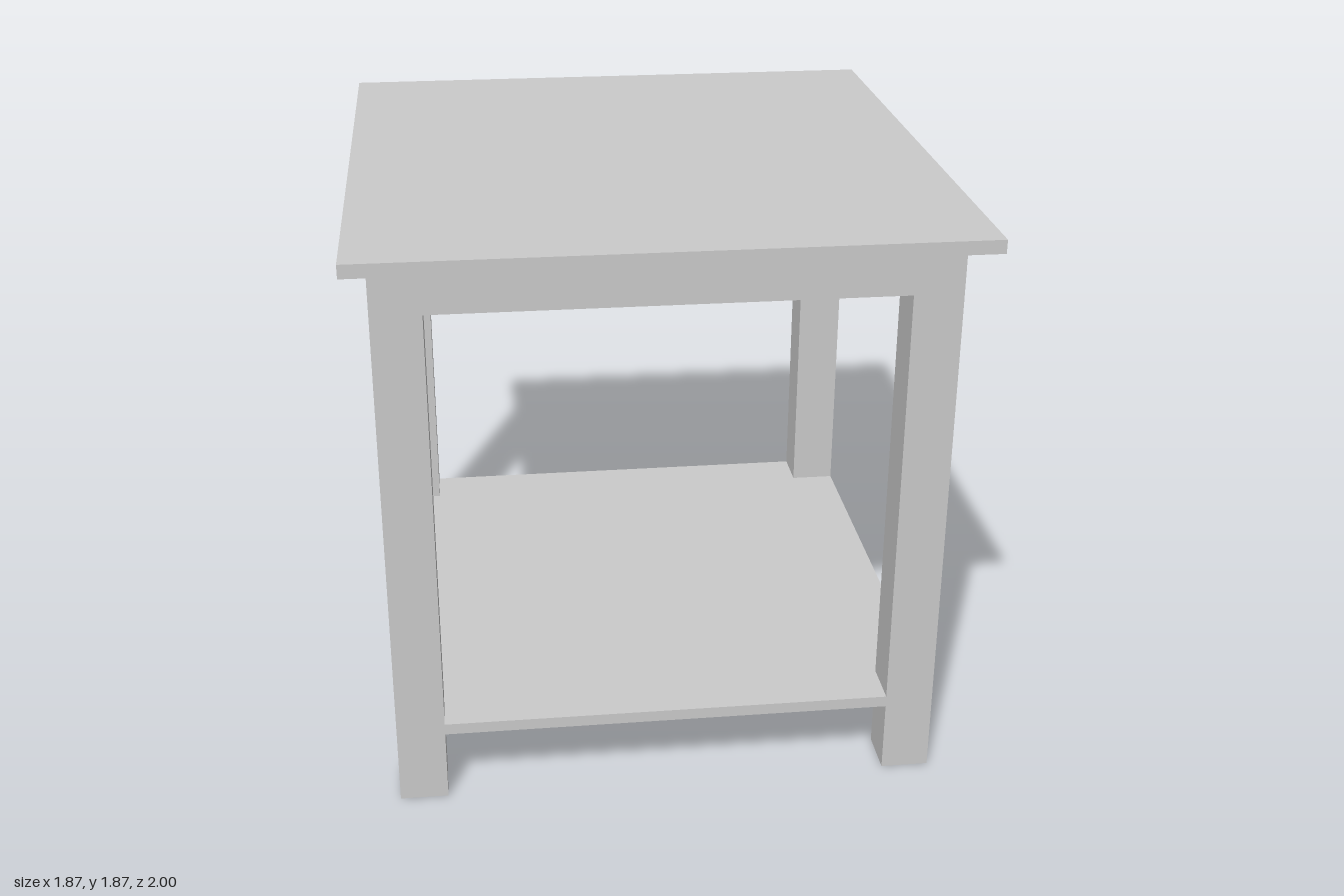
import * as THREE from 'three';

const TOP = { x: 0.933, z: 1.0, y0: 1.824, y1: 1.866 };
const OUT = { x: 0.863, z: 0.867 };   // outer faces of legs, rails and shelf
const INN = { x: 0.711, z: 0.714 };   // inner faces of legs and rails
const RAIL_Y = 1.658;
const SHELF = { y0: 0.235, y1: 0.272 };

export function createModel() {
  const group = new THREE.Group();
  const material = new THREE.MeshStandardMaterial({ color: 0xcccccc, flatShading: true });

  function add(name, geometry) {
    const mesh = new THREE.Mesh(geometry, material);
    mesh.name = name;
    group.add(mesh);
  }

  // Box given by its two extreme corners
  function box(name, x0, x1, y0, y1, z0, z1) {
    const geometry = new THREE.BoxGeometry(x1 - x0, y1 - y0, z1 - z0);
    geometry.translate((x0 + x1) / 2, (y0 + y1) / 2, (z0 + z1) / 2);
    add(name, geometry);
  }

  // Overhanging table top
  box('tableTop', -TOP.x, TOP.x, TOP.y0, TOP.y1, -TOP.z, TOP.z);

  // Square legs at the four corners
  for (const sx of [-1, 1]) {
    for (const sz of [-1, 1]) {
      const [x0, x1] = sx > 0 ? [INN.x, OUT.x] : [-OUT.x, -INN.x];
      const [z0, z1] = sz > 0 ? [INN.z, OUT.z] : [-OUT.z, -INN.z];
      box((sz > 0 ? 'front' : 'back') + (sx > 0 ? 'Left' : 'Right') + 'Leg', x0, x1, 0, TOP.y0, z0, z1);
    }
  }

  // Rails under the top, as thick as the legs
  box('frontRail', -INN.x, INN.x, RAIL_Y, TOP.y0, INN.z, OUT.z);
  box('backRail', -INN.x, INN.x, RAIL_Y, TOP.y0, -OUT.z, -INN.z);
  box('leftRail', INN.x, OUT.x, RAIL_Y, TOP.y0, -INN.z, INN.z);
  box('rightRail', -OUT.x, -INN.x, RAIL_Y, TOP.y0, -INN.z, INN.z);

  // Lower shelf, flush with the legs and notched around them
  const outline = [];
  for (const [sx, sz] of [[1, 1], [-1, 1], [-1, -1], [1, -1]]) {
    const corner = [
      new THREE.Vector2(sx * OUT.x, sz * INN.z),
      new THREE.Vector2(sx * INN.x, sz * INN.z),
      new THREE.Vector2(sx * INN.x, sz * OUT.z),
    ];
    outline.push(...(sx * sz > 0 ? corner : corner.reverse()));
  }
  const shelf = new THREE.ExtrudeGeometry(new THREE.Shape(outline), {
    depth: SHELF.y1 - SHELF.y0,
    bevelEnabled: false,
  });
  shelf.rotateX(-Math.PI / 2);
  shelf.translate(0, SHELF.y0, 0);
  add('shelf', shelf);

  return group;
}
